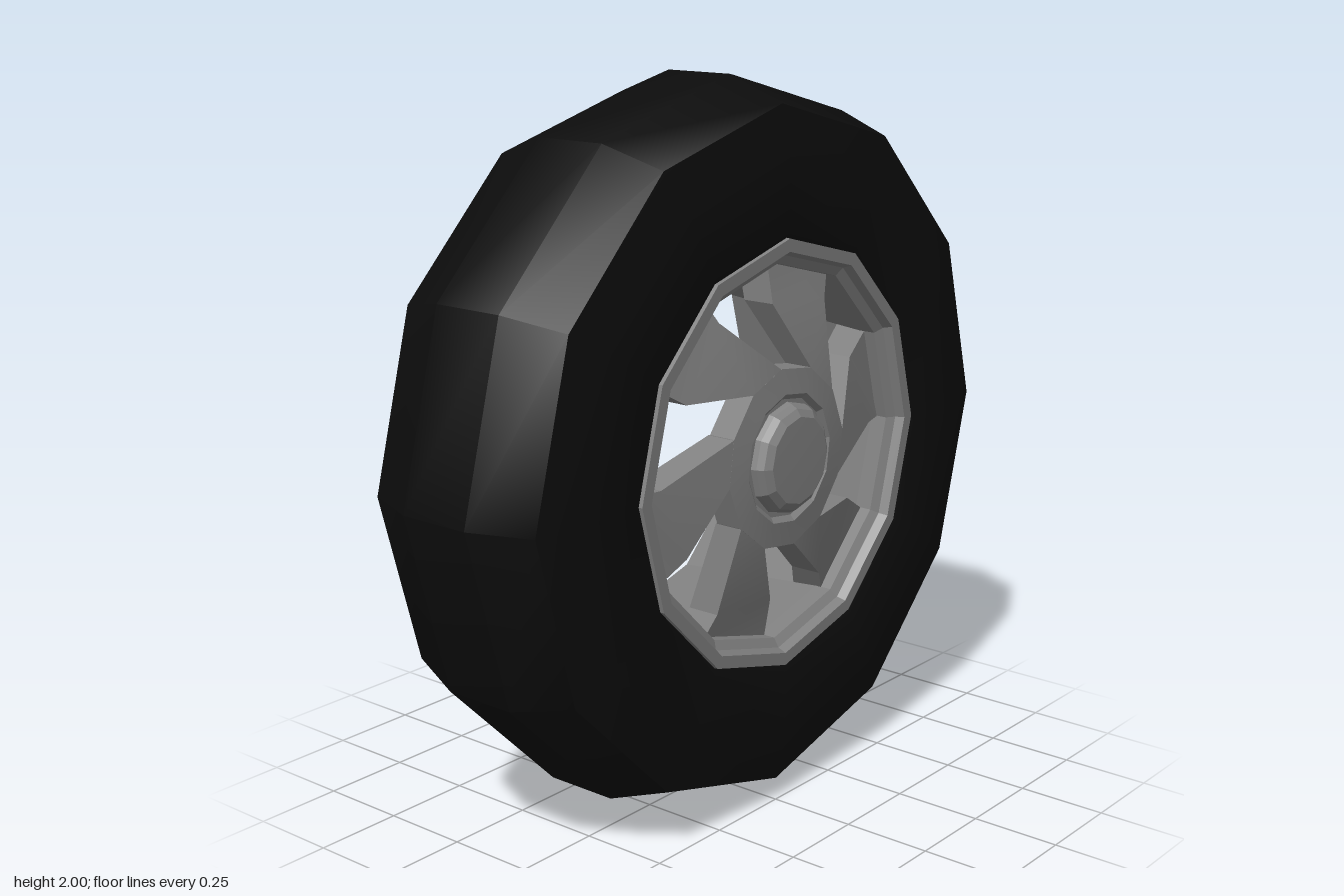
import * as THREE from 'three';
import { toCreasedNormals } from 'three/addons/utils/BufferGeometryUtils.js';

export function createModel() {
  const rubber = new THREE.MeshStandardMaterial({ color: 0x0c0c0c });
  rubber.name = 'black rubber';
  const metal = new THREE.MeshStandardMaterial({ color: 0x808080 });
  metal.name = 'grey metal';

  const wheel = new THREE.Group();
  wheel.name = 'wheel';
  wheel.position.y = 1;

  function add(name, geometry, material) {
    const mesh = new THREE.Mesh(geometry, material);
    mesh.name = name;
    wheel.add(mesh);
    return mesh;
  }

  // Twelve-sided ring turned about the z axis from [radius, z] points
  function turned(name, profile, material, crease) {
    const points = profile.map(([r, z]) => new THREE.Vector2(r, z));
    const geometry = new THREE.LatheGeometry(points, 12).rotateX(Math.PI / 2);
    return add(name, toCreasedNormals(geometry, crease), material);
  }

  // Tire with bevelled shoulders
  turned('tire', [
    [0.585, -0.31], [0.61, -0.325], [0.8, -0.325], [0.935, -0.295], [1, -0.13],
    [1, 0.08], [0.935, 0.25], [0.8, 0.28], [0.61, 0.28], [0.585, 0.265],
  ], rubber, 0.6);

  // Rim: front lip, inner step and the barrel running to the back
  turned('rim', [
    [0.592, 0.25], [0.59, 0.28], [0.555, 0.28], [0.545, 0.255],
    [0.52, 0.24], [0.52, 0.19], [0.582, -0.315],
  ], metal, 0.1);

  // Hub, recessed at the back
  turned('hub', [
    [0, 0.22], [0.12, 0.22], [0.14, 0.19], [0.18, 0.19], [0.25, 0.2],
    [0.25, 0.28], [0.18, 0.288], [0.165, 0.275], [0, 0.275],
  ], metal, 0.1).rotation.z = THREE.MathUtils.degToRad(7);

  // Centre cap
  turned('hubCap', [
    [0.155, 0.27], [0.15, 0.29], [0.14, 0.308], [0.12, 0.322], [0, 0.325],
  ], metal, 0.1);

  // Swept spoke: sections of [angle, radius] on both edges, front z, back z
  const sections = [
    [[67, 0.18], [37, 0.18], 0.284, 0.2],
    [[67, 0.25], [37, 0.248], 0.28, 0.195],
    [[90, 0.41], [59.6, 0.455], 0.225, 0.13],
    [[90, 0.55], [60, 0.55], 0.2, 0.1],
  ];
  const corner = ([angle, r], z) => {
    const a = THREE.MathUtils.degToRad(angle);
    return [r * Math.cos(a), r * Math.sin(a), z];
  };
  const rings = sections.map(([a, b, front, back]) =>
    [corner(a, front), corner(b, front), corner(b, back), corner(a, back)]);
  const positions = [];
  for (let s = 0; s < rings.length - 1; s++) {
    for (let k = 0; k < 4; k++) {
      const n = (k + 1) % 4;
      const p = rings[s][k], q = rings[s][n], u = rings[s + 1][n], v = rings[s + 1][k];
      positions.push(...p, ...q, ...u, ...p, ...u, ...v);
    }
  }
  const spokeGeometry = new THREE.BufferGeometry();
  spokeGeometry.setAttribute('position', new THREE.Float32BufferAttribute(positions, 3));
  const spokeShape = toCreasedNormals(spokeGeometry, 0.35);

  for (let i = 0; i < 6; i++) {
    add('spoke', spokeShape, metal).rotation.z = i * Math.PI / 3;
  }

  const model = new THREE.Group();
  model.name = 'carWheel';
  model.add(wheel);
  return model;
}
